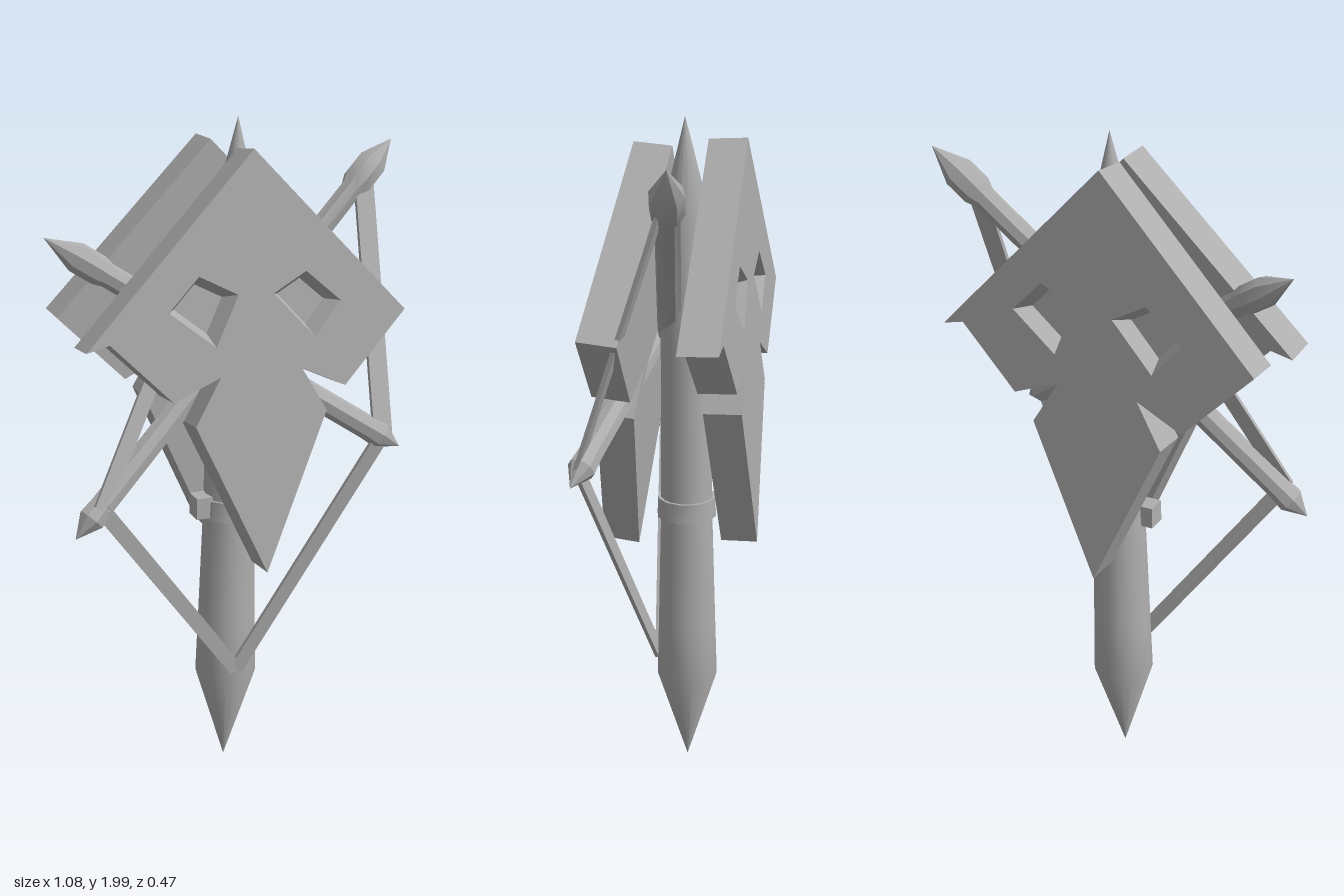
import * as THREE from 'three';
import { toCreasedNormals } from 'three/addons/utils/BufferGeometryUtils.js';

const stone = new THREE.MeshStandardMaterial({ color: 0xaeaeae });
stone.name = 'plain grey';

const V = (x, y, z) => new THREE.Vector3(x, y, z);

function add(parent, name, geometry) {
  const mesh = new THREE.Mesh(geometry, stone);
  mesh.name = name;
  parent.add(mesh);
  return mesh;
}

// Surface of revolution about y from [radius, height] pairs
function turned(points, sides, crease) {
  const profile = points.map(([r, h]) => new THREE.Vector2(r, h));
  return toCreasedNormals(new THREE.LatheGeometry(profile, sides), crease);
}

// Mask outline and eye sockets, relative to the height PIVOT
const PIVOT = 1.34;
const points2 = list => list.map(([x, y]) => new THREE.Vector2(x, y - PIVOT));
const outline = points2([
  [0, 1.93], [-0.47, 1.46], [-0.495, 1.435], [-0.43, 1.45], [-0.26, 1.275], [-0.12, 1.33],
  [-0.2, 1.2], [0, 0.745], [0.2, 1.2], [0.125, 1.33], [0.26, 1.265], [0.455, 1.465],
]);
const eyes = [
  points2([[-0.172, 1.608], [-0.06, 1.55], [-0.13, 1.413], [-0.262, 1.519]]),
  points2([[0.145, 1.598], [0.25, 1.508], [0.167, 1.413], [0.045, 1.545]]),
];
const DEPTH = 0.11, SOCKET = 0.05;

// Sloping walls of one eye socket
function socketGeometry(eye) {
  const centre = eye.reduce((c, p) => c.add(p), new THREE.Vector2()).multiplyScalar(0.25);
  const inner = eye.map(p => p.clone().lerp(centre, 0.3));
  const pos = [];
  eye.forEach((a, i) => {
    const j = (i + 1) % eye.length, b = eye[j], c = inner[i], d = inner[j];
    pos.push(a.x, a.y, 0, c.x, c.y, -SOCKET, b.x, b.y, 0);
    pos.push(b.x, b.y, 0, c.x, c.y, -SOCKET, d.x, d.y, -SOCKET);
  });
  const g = new THREE.BufferGeometry();
  g.setAttribute('position', new THREE.Float32BufferAttribute(pos, 3));
  g.computeVertexNormals();
  return g;
}

// Thick slab mask, with a pierced front layer over a solid back layer
function makeMask(name) {
  const mask = new THREE.Group();
  mask.name = name;
  const face = new THREE.Shape(outline);
  face.holes = eyes.map(e => new THREE.Path(e));
  const front = new THREE.ExtrudeGeometry(face, { depth: SOCKET, bevelEnabled: false });
  add(mask, 'maskFace', front).position.z = -SOCKET;
  const back = new THREE.ExtrudeGeometry(new THREE.Shape(outline), { depth: DEPTH - SOCKET, bevelEnabled: false });
  add(mask, 'maskBack', back).position.z = -DEPTH;
  eyes.forEach(e => add(mask, 'eyeSocket', socketGeometry(e)));
  return mask;
}

// Crossbar sharpened at both ends
function addBar(parent, name, from, to, headRadius) {
  const dir = to.clone().sub(from), L = dir.length();
  const bar = add(parent, name, turned([
    [0, 0], [0.04, 0.07], [0.036, 0.12], [0.034, L - 0.2], [headRadius, L - 0.17], [headRadius, L - 0.1], [0, L],
  ], 8, 0.5));
  bar.position.copy(from);
  bar.quaternion.setFromUnitVectors(V(0, 1, 0), dir.normalize());
}

// Flat strap stretched between two points
function addStrap(parent, from, to, width) {
  const dir = to.clone().sub(from), L = dir.length();
  dir.normalize();
  const side = dir.clone().cross(V(0, 0, 1)).normalize();
  const strap = add(parent, 'strap', new THREE.BoxGeometry(width, L, 0.012));
  strap.quaternion.setFromRotationMatrix(new THREE.Matrix4().makeBasis(side, dir, side.clone().cross(dir)));
  strap.position.copy(from).lerp(to, 0.5);
}

export function createModel() {
  const model = new THREE.Group();
  model.name = 'maskTotem';

  // Pointed post, leaning slightly
  const post = new THREE.Group();
  post.name = 'post';
  post.position.set(-0.033, 0, -0.02);
  post.rotation.z = -0.026;
  model.add(post);
  add(post, 'stake', turned([
    [0, 0.005], [0.094, 0.31], [0.088, 0.5], [0.078, 0.85], [0.074, 1.3], [0.072, 1.72], [0, 2],
  ], 16, 0.7));

  // Binding round the post, with its knot
  add(post, 'binding', toCreasedNormals(new THREE.CylinderGeometry(0.087, 0.09, 0.06, 12), 0.7)).position.y = 0.87;
  add(post, 'knot', new THREE.BoxGeometry(0.05, 0.065, 0.06)).position.set(-0.095, 0.88, 0.01);

  // Two masks back to back
  const frontMask = makeMask('frontMask');
  frontMask.position.set(0, PIVOT, 0.182);
  frontMask.rotation.x = -0.089;
  const backMask = makeMask('backMask');
  backMask.position.set(-0.04, PIVOT + 0.01, -0.207);
  backMask.rotation.order = 'YXZ';
  backMask.rotation.set(-0.04, Math.PI, 0);
  model.add(frontMask, backMask);

  // Crossed bars
  addBar(model, 'longBar', V(-0.54, 0.91, 0.15), V(0.54, 1.91, -0.09), 0.046);
  addBar(model, 'shortBar', V(0.44, 1.06, 0.2), V(-0.53, 1.7, -0.06), 0.042);

  // Straps linking the bar ends to the post
  const lowLeft = V(0.385, 1.1, 0.195), lowRight = V(-0.465, 0.99, 0.16), foot = V(-0.03, 0.36, 0.074);
  addStrap(model, lowLeft, V(0.43, 1.8, -0.05), 0.06);
  addStrap(model, foot, lowLeft, 0.045);
  addStrap(model, foot, lowRight, 0.045);
  addStrap(model, lowRight, V(-0.19, 1.47, 0.03), 0.045);

  return model;
}
